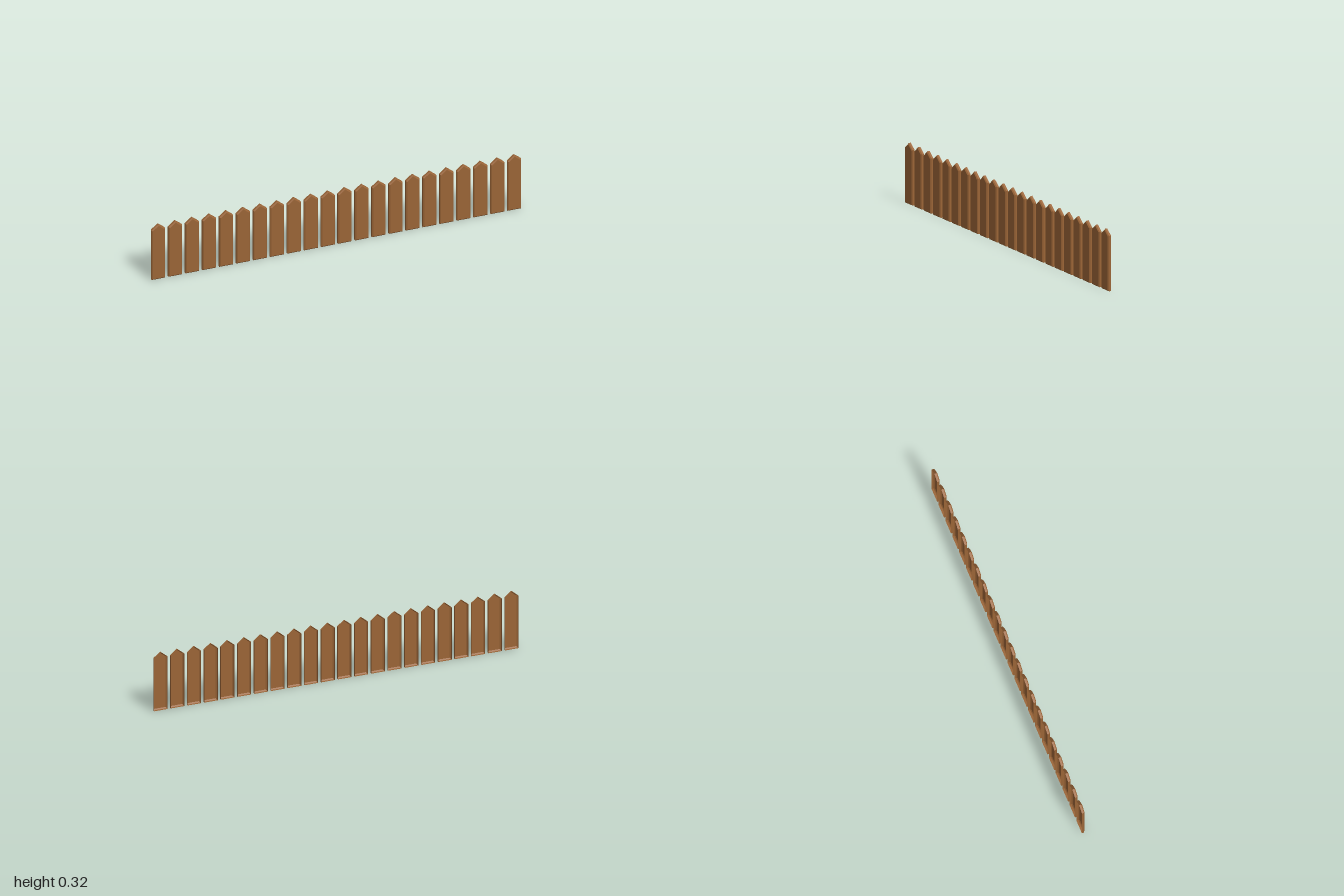
import * as THREE from 'three';

const COUNT = 22, HALF = 0.037;

// Pentagon picket outline, counter-clockwise from the front
function outline(half, bottom, shoulder, tip, z) {
  return [[-half, bottom, z], [half, bottom, z], [half, shoulder, z], [0, tip, z], [-half, shoulder, z]];
}

// Hollow-backed board: straight sides, a bevelled front edge and a flat face
function picketGeometry() {
  const rings = [
    outline(HALF, 0, 0.29, 0.32, -0.008),
    outline(HALF, 0, 0.29, 0.32, 0.003),
    outline(HALF - 0.006, 0.006, 0.287, 0.313, 0.008),
  ];
  const points = [];
  for (let r = 0; r < 2; r++) {
    for (let i = 0; i < 5; i++) {
      const j = (i + 1) % 5;
      const a = rings[r][i], b = rings[r][j], c = rings[r + 1][j], d = rings[r + 1][i];
      points.push(a, b, c, a, c, d);
    }
  }
  const face = rings[2];
  for (let i = 1; i < 4; i++) points.push(face[0], face[i], face[i + 1]);
  const geometry = new THREE.BufferGeometry();
  geometry.setAttribute('position', new THREE.Float32BufferAttribute(points.flat(), 3));
  geometry.computeVertexNormals();
  return geometry;
}

export function createModel() {
  const fence = new THREE.Group();
  fence.name = 'picketFence';
  const wood = new THREE.MeshStandardMaterial({ color: 0x9a6436, side: THREE.DoubleSide });
  wood.name = 'brown wood';
  const geometry = picketGeometry();

  // Evenly spaced row of pickets
  const first = -1 + HALF, step = (2 - 2 * HALF) / (COUNT - 1);
  for (let i = 0; i < COUNT; i++) {
    const picket = new THREE.Mesh(geometry, wood);
    picket.name = `picket${i + 1}`;
    picket.position.x = first + i * step;
    fence.add(picket);
  }
  return fence;
}
